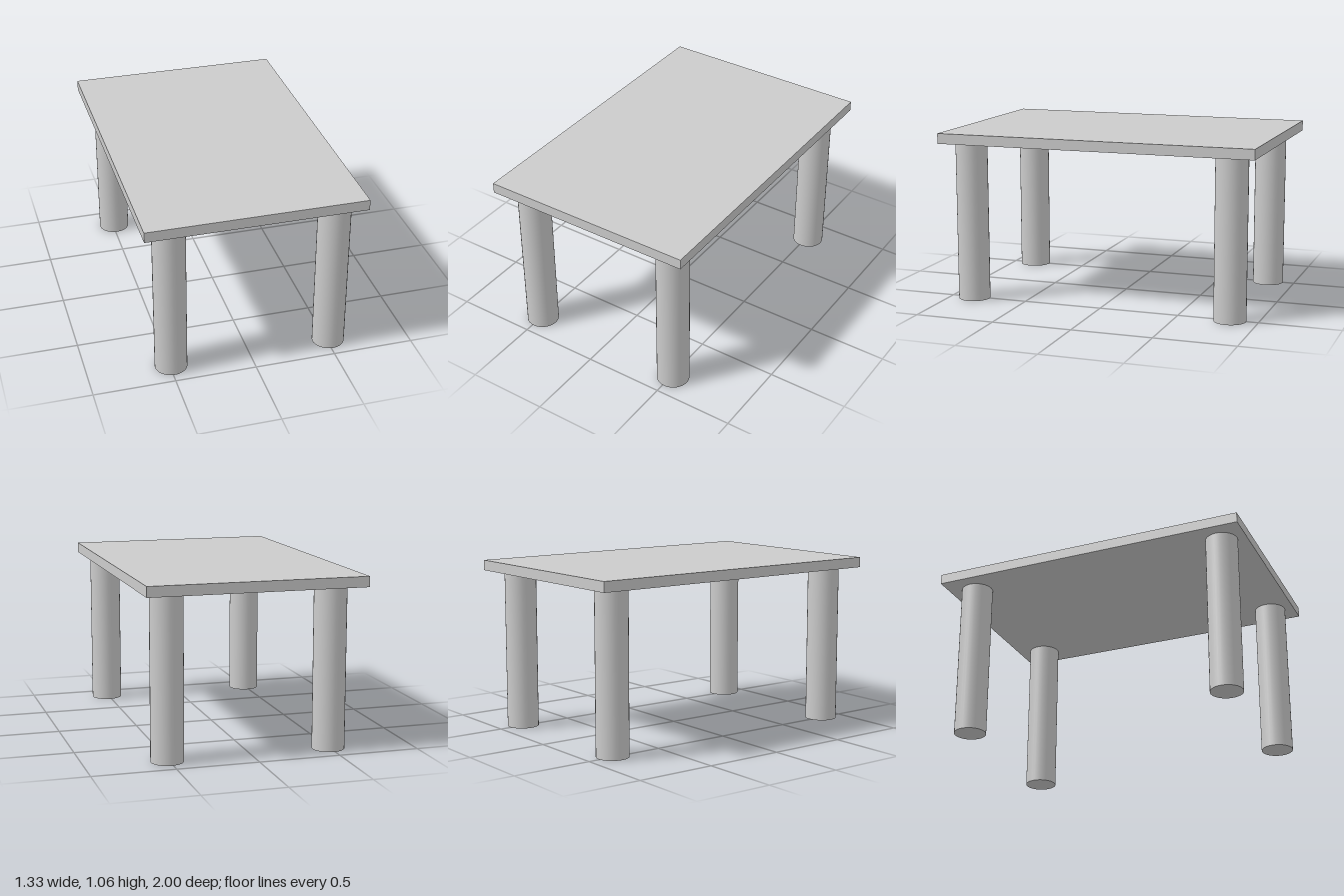
import * as THREE from 'three';

export function createModel() {
  const group = new THREE.Group();
  const material = new THREE.MeshStandardMaterial({ color: 0xcccccc });

  const legHeight = 1.0;
  const topThickness = 0.064;

  // Flat rectangular slab
  const top = new THREE.Mesh(new THREE.BoxGeometry(1.333, topThickness, 2), material);
  top.name = 'tableTop';
  top.position.y = legHeight + topThickness / 2;
  group.add(top);

  // Four round legs, set slightly off centre under the slab
  const legGeometry = new THREE.CylinderGeometry(0.099, 0.099, legHeight, 32);
  for (const [xName, x] of [['Left', 0.511], ['Right', -0.491]]) {
    for (const [zName, z] of [['front', 0.844], ['back', -0.828]]) {
      const leg = new THREE.Mesh(legGeometry, material);
      leg.name = `${zName}${xName}Leg`;
      leg.position.set(x, legHeight / 2, z);
      group.add(leg);
    }
  }

  return group;
}
